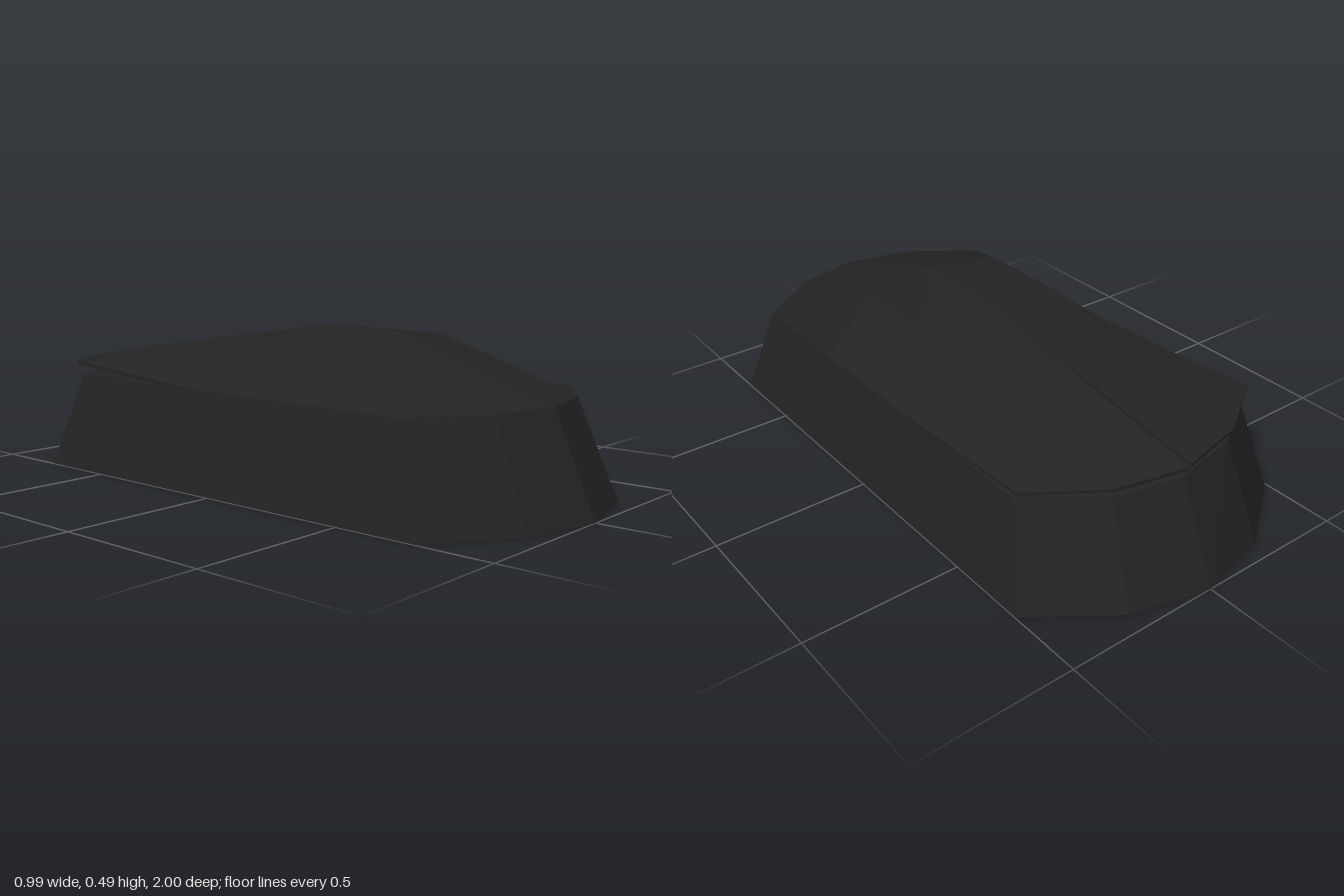
import * as THREE from 'three';

const shell = new THREE.MeshStandardMaterial({ color: 0x232323, side: THREE.DoubleSide });
shell.name = 'charcoal plastic';

// Flat-faceted surface through rows of points
function loft(rows) {
  const pos = [];
  for (let r = 0; r < rows.length - 1; r++) {
    for (let c = 0; c < rows[r].length - 1; c++) {
      const a = rows[r][c], b = rows[r][c + 1], d = rows[r + 1][c], e = rows[r + 1][c + 1];
      pos.push(...a, ...b, ...e, ...a, ...e, ...d);
    }
  }
  const g = new THREE.BufferGeometry();
  g.setAttribute('position', new THREE.Float32BufferAttribute(pos, 3));
  g.computeVertexNormals();
  return g;
}

const flipX = ([x, y, z]) => [-x, y, z];

// Half a cross-section, centre outwards, completed from -x to +x
const mirrorRow = (half) => [...half.slice(1).reverse().map(flipX), ...half];

// Closed outline at height y, from half of it, front to back
const ring = (half, y) => {
  const right = half.map(([x, z]) => [x, y, z]);
  return [...right, ...right.slice(0, -1).reverse().map(flipX)];
};

export function createModel() {
  const model = new THREE.Group();
  const add = (name, geometry, parent = model) => {
    const mesh = new THREE.Mesh(geometry, shell);
    mesh.name = name;
    parent.add(mesh);
    return mesh;
  };

  // Sloping side walls
  const foot = [[0, 1], [0.25, 0.94], [0.495, 0.765], [0.495, -0.765], [0.25, -0.94], [0, -1]];
  const rim = [[0, 0.865], [0.22, 0.815], [0.43, 0.665], [0.43, -0.67], [0.22, -0.82], [0, -0.865]];
  const RIM_Y = 0.305;
  add('sideWalls', loft([ring(foot, 0), ring(rim, RIM_Y)]));

  // Faceted palm hood
  const hinge = [[0, 0.462, -0.12], [0.25, 0.455, -0.1], [0.43, RIM_Y, -0.14]];
  add('palmHood', loft([
    [[0, RIM_Y, 0.865], [0.22, RIM_Y, 0.815], [0.43, RIM_Y, 0.665]],
    [[0, 0.478, 0.34], [0.25, 0.456, 0.31], [0.43, RIM_Y, 0.28]],
    [[0, 0.488, 0], [0.25, 0.459, 0], [0.43, RIM_Y, 0]],
    hinge,
    [[0, RIM_Y, -0.865], [0.22, RIM_Y, -0.82], [0.43, RIM_Y, -0.67]],
  ].map(mirrorRow)));

  // Two thin click buttons, split by a tapering slit and overhanging the rim
  for (const [name, side, tipY] of [['leftButton', 1, 0.342], ['rightButton', -1, 0.35]]) {
    const button = new THREE.Group();
    button.name = name;
    model.add(button);
    const place = (row) => (side > 0 ? row : row.map(flipX).reverse());
    const lower = (row) => row.map(([x, y, z]) => [x, y - 0.01, z]);
    const start = place(hinge);
    const tip = place([[0.006, tipY, -0.88], [0.23, tipY, -0.83], [0.44, tipY, -0.69]]);
    add(name + 'Plate', loft([start, tip, lower(tip), lower(start)]), button);
    for (const i of [0, 2]) {
      const edge = [start[i], tip[i]];
      add(name + 'Edge', loft(i ? [lower(edge), edge] : [edge, lower(edge)]), button);
    }
  }

  // Flat underside with a rectangular sensor opening
  const outline = ring(foot, 0).slice(0, -1).map(([x, , z]) => new THREE.Vector2(x, z));
  const opening = [[-0.1, -0.15], [0.1, -0.15], [0.1, 0.1], [-0.1, 0.1]];
  const base = new THREE.Shape(outline);
  base.holes.push(new THREE.Path(opening.map(([x, z]) => new THREE.Vector2(x, z))));
  add('underside', new THREE.ShapeGeometry(base).rotateX(Math.PI / 2));

  // Sensor recess walls and ceiling
  const DEPTH = 0.14;
  const loop = [...opening, opening[0]];
  add('sensorRecess', loft([0, DEPTH].map((y) => loop.map(([x, z]) => [x, y, z]))));
  add('sensorCeiling', new THREE.PlaneGeometry(0.2, 0.25).rotateX(Math.PI / 2))
    .position.set(0, DEPTH, -0.025);

  return model;
}
